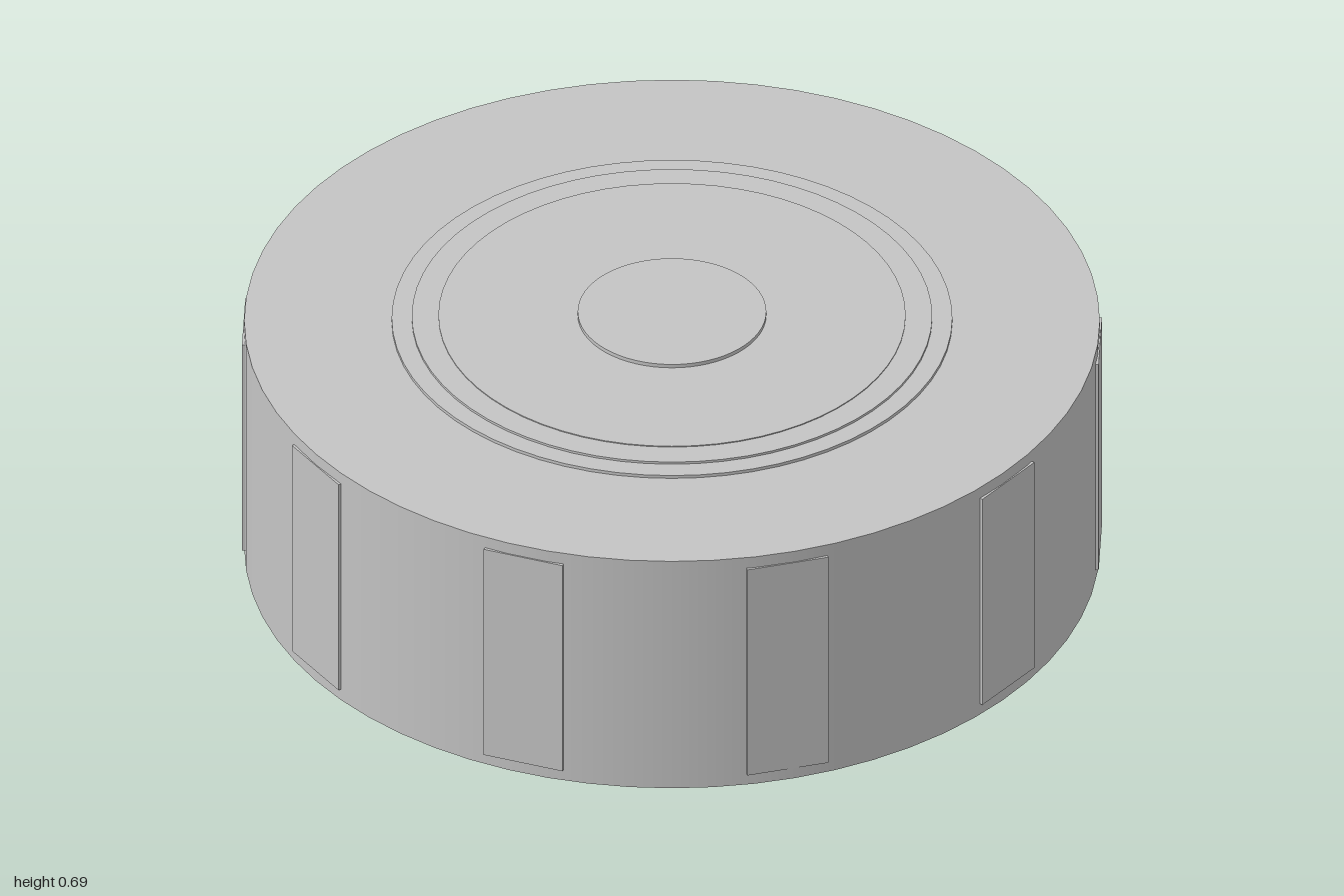
import * as THREE from 'three';

export function createModel() {
  const group = new THREE.Group();
  group.name = 'drum';
  const grey = new THREE.MeshStandardMaterial({ color: 0xc4c4c4 });
  grey.name = 'light grey';
  const midY = 0.346;

  const add = (name, geometry) => {
    const mesh = new THREE.Mesh(geometry, grey);
    mesh.name = name;
    mesh.position.y = midY;
    group.add(mesh);
    return mesh;
  };

  // Main body and the shallow steps that stand out on both faces
  const discs = [
    ['body', 0.998, 0.64],
    ['outerStep', 0.654, 0.656],
    ['middleStep', 0.607, 0.668],
    ['innerStep', 0.545, 0.673],
    ['hub', 0.22, 0.692],
  ];
  for (const [name, radius, height] of discs) {
    add(name, new THREE.CylinderGeometry(radius, radius, height, 64));
  }

  // Ten flat pads spaced evenly round the rim
  const padDepth = 0.03;
  const padGeometry = new THREE.BoxGeometry(padDepth, 0.58, 0.196);
  for (let i = 0; i < 10; i++) {
    const angle = (i / 10) * Math.PI * 2;
    const pad = add('rimPad', padGeometry);
    const r = 1 - padDepth / 2;
    pad.position.set(r * Math.cos(angle), midY, r * Math.sin(angle));
    pad.rotation.y = -angle;
  }
  return group;
}
